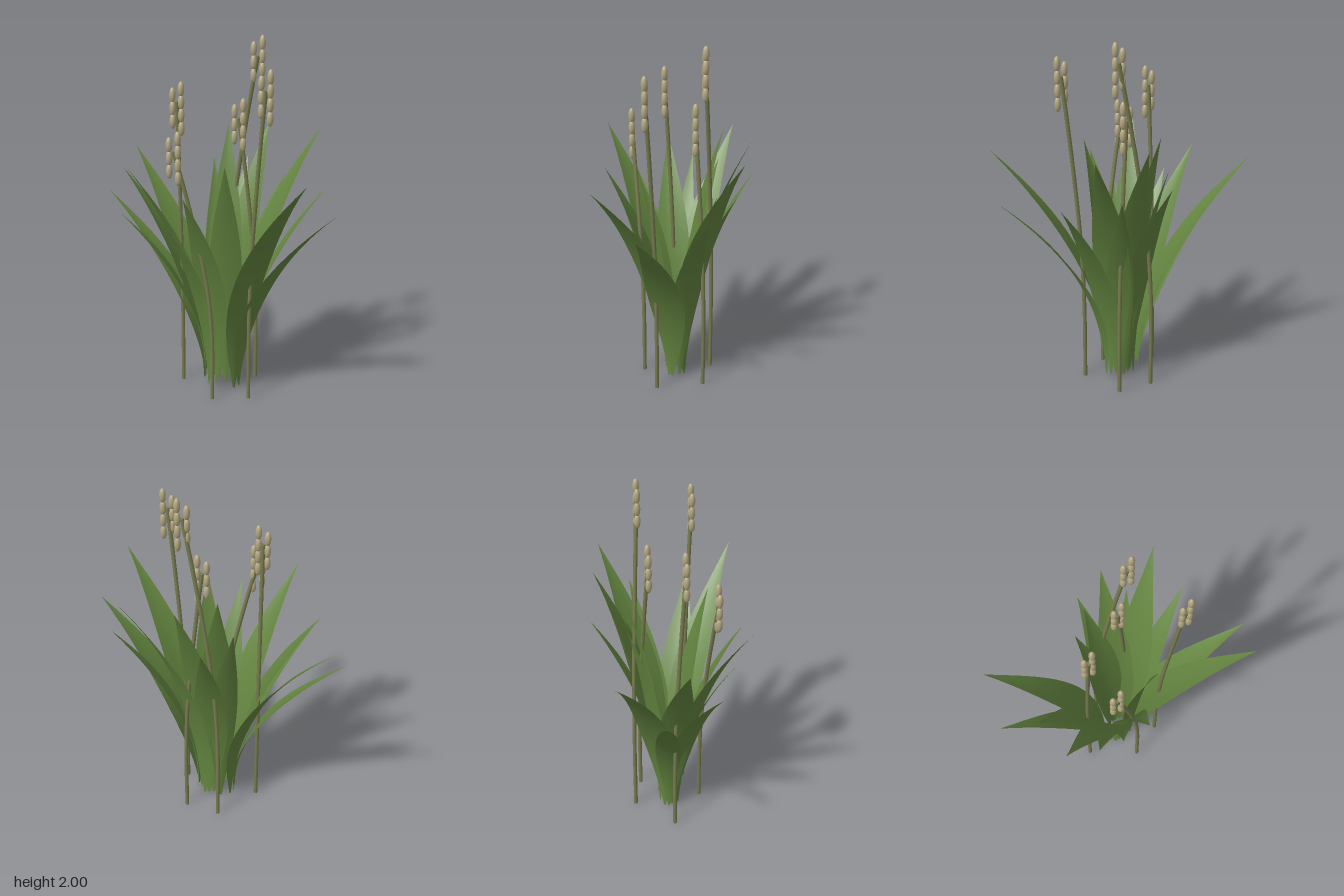
import * as THREE from 'three';

const leafGreen = new THREE.MeshStandardMaterial({ color: 0x648540, side: THREE.DoubleSide });
leafGreen.name = 'leafGreen';
const stemOlive = new THREE.MeshStandardMaterial({ color: 0x777b4e });
stemOlive.name = 'stemOlive';
const seedTan = new THREE.MeshStandardMaterial({ color: 0xb4a882 });
seedTan.name = 'seedTan';

// Leaf tips (x, y, z) and full blade width
const LEAVES = [
  [-0.62, 1.275, -0.35, 0.19], [-0.695, 1.065, -0.12, 0.14], [-0.545, 1.26, 0.03, 0.19],
  [-0.5, 1.07, 0.215, 0.16], [-0.39, 1.38, 0.37, 0.19], [-0.205, 1.06, 0.325, 0.15],
  [-0.08, 1.24, 0.38, 0.18], [0.095, 1.38, 0.22, 0.18], [0.575, 1.38, 0.42, 0.2],
  [0.69, 1.17, 0.205, 0.2], [0.555, 1.2, -0.16, 0.15], [0.475, 1.485, -0.335, 0.2],
  [0.285, 1.22, -0.315, 0.15], [0.17, 1.485, -0.39, 0.19], [0.035, 1.26, -0.42, 0.18],
  [-0.03, 1.485, -0.26, 0.19], [-0.11, 1.28, -0.24, 0.16], [0.16, 1.17, -0.22, 0.14],
];

// Seed stalks: base (x, z), head centre (x, z) and height of the top bead
const STALKS = [
  [-0.22, 0, -0.222, 0.052, 1.77], [0.01, 0.175, -0.18, 0.23, 1.55],
  [0.165, -0.155, 0.072, -0.105, 1.665], [-0.022, -0.205, 0.162, -0.15, 2.0],
  [0.2, 0.105, 0.291, 0.155, 1.89],
];

// Arching blade: narrow at the root, widest at mid height, pointed at the tip
function leafGeometry([tx, ty, tz, width], baseY) {
  const a = Math.atan2(tz * 1.3, tx);
  const bx = 0.015 + 0.11 * Math.cos(a), bz = -0.005 + 0.058 * Math.sin(a);
  const dir = new THREE.Vector2(tx - bx, tz - bz).normalize();
  const rows = 18, cols = 4;
  const geo = new THREE.PlaneGeometry(1, 1, cols, rows);
  const pos = geo.attributes.position;
  for (let i = 0; i < pos.count; i++) {
    const t = pos.getY(i) + 0.5, u = pos.getX(i) * 2;
    const bend = Math.pow(t, 2.1);
    const half = (width / 2) * (0.06 * (1 - t) + 0.97 * Math.pow(Math.sin(Math.PI * t), 1.08));
    const cup = -0.12 * half * u * u;   // edges curl slightly inward
    pos.setXYZ(i,
      bx + (tx - bx) * bend + dir.x * cup - dir.y * half * u,
      baseY + (ty - baseY) * t,
      bz + (tz - bz) * bend + dir.y * cup + dir.x * half * u);
  }
  geo.computeVertexNormals();
  return geo;
}

function createStalk([bx, bz, hx, hz, top]) {
  const stalk = new THREE.Group();
  stalk.name = 'seedStalk';

  // Stem: upright below, leaning toward the head above
  const stemTop = top - 0.11;
  const points = [0, 0.25, 0.45, 0.65, 0.85, 1].map((t) => {
    const lean = Math.pow(Math.max(0, (t - 0.3) / 0.7), 1.4);
    return new THREE.Vector3(bx + (hx - bx) * lean, stemTop * t, bz + (hz - bz) * lean);
  });
  const curve = new THREE.CatmullRomCurve3(points);
  const stem = new THREE.Mesh(new THREE.TubeGeometry(curve, 24, 0.011, 8), stemOlive);
  stem.name = 'stem';
  stalk.add(stem);

  // Flat ends of the stem
  for (const [p, tilt] of [[points[0], Math.PI / 2], [points[5], -Math.PI / 2]]) {
    const cap = new THREE.Mesh(new THREE.CircleGeometry(0.011, 8), stemOlive);
    cap.name = 'stemEnd';
    cap.position.copy(p);
    cap.rotation.x = tilt;
    stalk.add(cap);
  }

  // Seed head: a column of three beads beside a column of four
  const bead = new THREE.SphereGeometry(1, 12, 10);
  bead.scale(0.0175, 0.041, 0.0175);
  for (const [dx, count, drop] of [[-0.024, 3, 0.035], [0.024, 4, 0]]) {
    for (let i = 0; i < count; i++) {
      const seed = new THREE.Mesh(bead, seedTan);
      seed.name = 'seed';
      seed.position.set(hx + dx, top - drop - 0.041 - i * 0.071, hz);
      stalk.add(seed);
    }
  }
  return stalk;
}

export function createModel() {
  const model = new THREE.Group();
  model.name = 'grassClump';

  const leaves = new THREE.Group();
  leaves.name = 'leaves';
  LEAVES.forEach((spec, i) => {
    const leaf = new THREE.Mesh(leafGeometry(spec, 0.01 + 0.012 * (i % 4)), leafGreen);
    leaf.name = 'leaf';
    leaves.add(leaf);
  });
  model.add(leaves);

  const stalks = new THREE.Group();
  stalks.name = 'seedStalks';
  STALKS.forEach((spec) => stalks.add(createStalk(spec)));
  model.add(stalks);
  return model;
}
